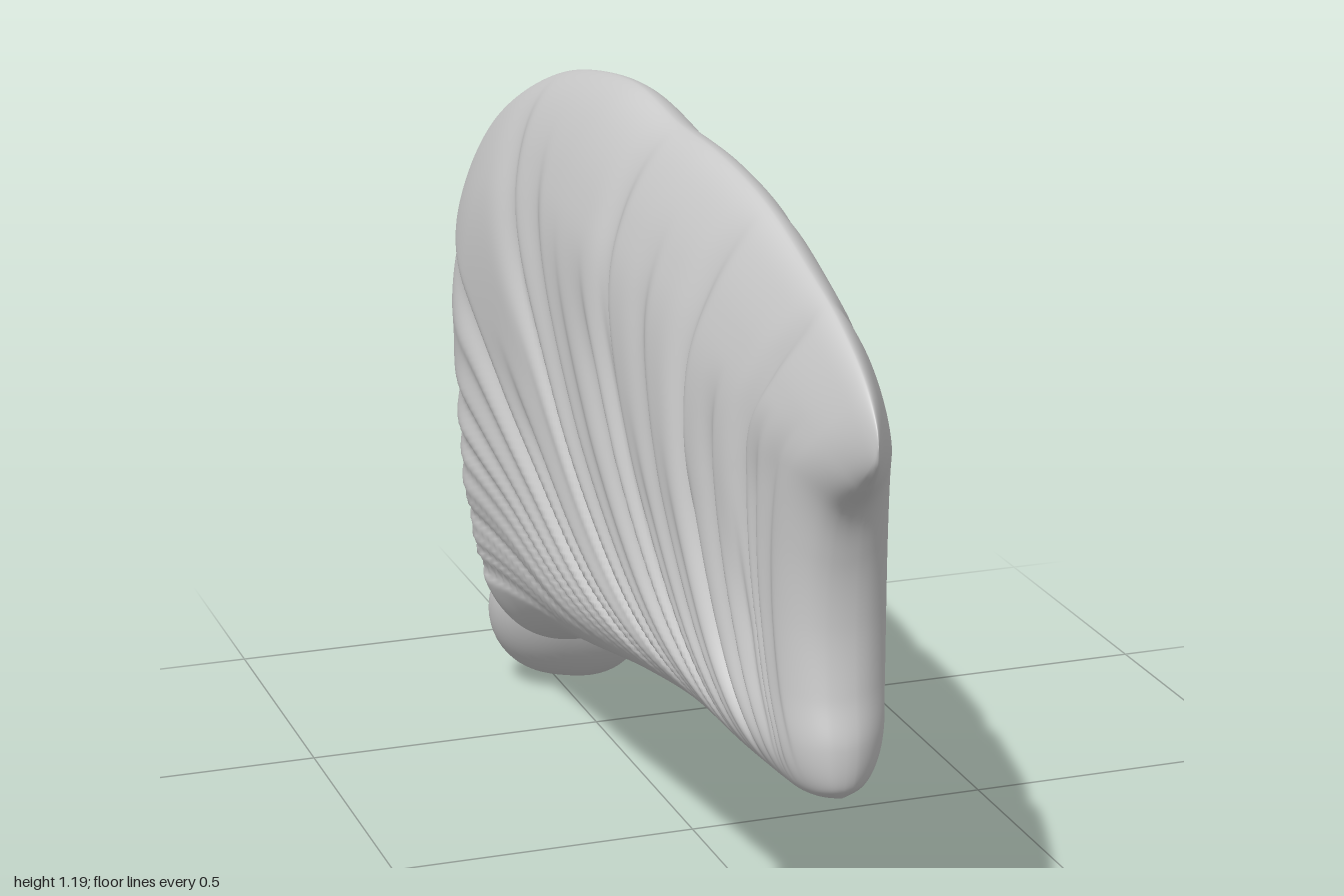
import * as THREE from 'three';
import { mergeVertices } from 'three/addons/utils/BufferGeometryUtils.js';

// Side outline as four edge curves, given as [z, y]
const edge = (pts) => {
  const c = new THREE.CatmullRomCurve3(pts.map(([z, y]) => new THREE.Vector3(0, y, z)), false, 'centripetal');
  c.arcLengthDivisions = 600;
  return c;
};
const bottom = edge([[0.835, 0.4], [0.8, 0.39], [0.6, 0.375], [0.4, 0.37], [0.15, 0.33], [-0.1, 0.275], [-0.35, 0.215], [-0.5, 0.165], [-0.62, 0.125], [-0.74, 0.12]]);
const top = edge([[1, 0.965], [0.99, 0.99], [0.94, 1.03], [0.8, 1.08], [0.6, 1.12], [0.4, 1.16], [0.2, 1.18], [0, 1.182], [-0.2, 1.195], [-0.4, 1.175], [-0.6, 1.13], [-0.8, 1.05], [-0.9, 0.985], [-0.945, 0.945]]);
const front = edge([[0.835, 0.4], [0.85, 0.42], [0.855, 0.48], [0.84, 0.55], [0.83, 0.65], [0.84, 0.75], [0.87, 0.83], [0.94, 0.89], [0.99, 0.935], [1, 0.965]]);
const back = edge([[-0.74, 0.12], [-0.785, 0.2], [-0.84, 0.35], [-0.92, 0.55], [-0.985, 0.72], [-0.995, 0.82], [-0.975, 0.9], [-0.945, 0.945]]);

const seeded = (seed) => () => {
  seed = (seed * 16807) % 2147483647;
  return seed / 2147483647;
};
const { clamp, lerp, smoothstep } = THREE.MathUtils;
const round = (u, p = 2, q = 1 / p) => Math.pow(Math.max(0, 1 - Math.pow(clamp(1 - u, 0, 1), p)), q);

// Half thickness along the length, and the sideways lean of the front end and crest
const thickness = (z) => 0.182 * (1 - Math.pow(clamp((z + 0.4) / 1.48, 0, 1), 2.6));
const lean = (z, t) => -0.09 * Math.pow(Math.max(0, (z + 0.3) / 1.3), 1.7)
  - 0.018 * smoothstep(t, 0.45, 0.8) * smoothstep(-z, -0.6, 0);

// Blunt underside, tapering crest, rounded front and back edges, slimmer near the foot
function taper(s, t) {
  const lower = round(t / 0.2, 2.5);
  const upper = round((1 - t) / lerp(0.25, 0.6, smoothstep(s, 0, 0.3)), 2, 0.6);
  const fore = round(s / 0.05);
  const aft = round((1 - s) / lerp(0.07, 0.22, t));
  const slim = 1 - 0.22 * smoothstep(s, 0.6, 0.95) * (1 - smoothstep(t, 0, 0.35));
  return lower * upper * fore * aft * slim;
}

// Strand lines fan out of the lower front corner and sweep up and back
function makeGrooves(seed) {
  const rnd = seeded(seed);
  const list = [0.15, 0.3, 0.5, 0.79, 1.03].map((at) => ({ at, depth: 0.016, reach: 1.1 }));
  for (let at = 0.08; at < 2; at += 0.03 + 0.04 * rnd() + 0.03 * at) {
    list.push({ at, depth: 0.005 + 0.008 * rnd(), reach: 0.55 + 0.4 * rnd() });
  }
  return list;
}
function grooveDepth(grooves, s, t) {
  const phi = s / Math.pow(t + 0.005, 0.4);
  const near = Math.min(1, Math.hypot(s * 1.7, t * 0.8) / 0.3) * smoothstep(t, 0.03, 0.16);
  let d = 0;
  for (const g of grooves) {
    const k = phi - g.at;
    const width = (k > 0 ? 0.024 : 0.009) * (0.8 + g.at);
    const fade = smoothstep(g.reach - t, 0, 0.25);
    d += g.depth * fade * Math.exp(-Math.pow(k / width, 2));
  }
  return Math.min(d, 0.02) * near;
}

function bodyGeometry(nS, nT) {
  const ease = (u) => 0.55 * u + 0.45 * (0.5 - 0.5 * Math.cos(Math.PI * u));
  const cosine = (u) => 0.5 - 0.5 * Math.cos(Math.PI * u);
  const S = Array.from({ length: nS + 1 }, (_, i) => ease(i / nS));
  const T = Array.from({ length: nT + 1 }, (_, j) => cosine(j / nT));
  const b = S.map((s) => bottom.getPointAt(s)), u = S.map((s) => top.getPointAt(s));
  const f = T.map((t) => front.getPointAt(t)), k = T.map((t) => back.getPointAt(t));
  const pos = [], index = [];
  const blend = (i, j, axis) => {
    const s = S[i], t = T[j];
    return (1 - t) * b[i][axis] + t * u[i][axis] + (1 - s) * f[j][axis] + s * k[j][axis]
      - (1 - s) * (1 - t) * b[0][axis] - s * (1 - t) * b[nS][axis]
      - (1 - s) * t * u[0][axis] - s * t * u[nS][axis];
  };
  for (const side of [1, -1]) {
    const grooves = makeGrooves(side > 0 ? 71 : 523);
    const base = pos.length / 3;
    for (let i = 0; i <= nS; i++) {
      for (let j = 0; j <= nT; j++) {
        const z = blend(i, j, 'z'), y = blend(i, j, 'y');
        const border = i === 0 || j === 0 || i === nS || j === nT;
        const m = border ? 0 : taper(S[i], T[j]);
        const w = m * (thickness(z) - grooveDepth(grooves, S[i], T[j]));
        pos.push(lean(z, T[j]) + side * Math.max(0, w), y, z);
        if (i < nS && j < nT) {
          const a = base + i * (nT + 1) + j, c = a + nT + 1;
          if (side > 0) index.push(a, c, c + 1, a, c + 1, a + 1);
          else index.push(a, c + 1, c, a, a + 1, c + 1);
        }
      }
    }
  }
  let g = new THREE.BufferGeometry();
  g.setAttribute('position', new THREE.Float32BufferAttribute(pos, 3));
  g.setIndex(index);
  g = mergeVertices(g, 1e-5);
  g.computeVertexNormals();
  return g;
}

// Wide lobe pointing down and back, its lower edge slanted across x
function footGeometry() {
  const g = new THREE.SphereGeometry(1, 48, 32);
  const p = g.attributes.position;
  const full = (v, e) => Math.sign(v) * Math.pow(Math.abs(v), e);
  for (let i = 0; i < p.count; i++) {
    const x = full(p.getX(i), 0.8) * 0.14;
    const along = p.getY(i) * 0.145, across = p.getZ(i) * 0.085;
    const y = 0.148 + along * 0.87 - across * 0.5 - x * 0.2;
    const z = -0.69 + along * 0.5 + across * 0.87;
    p.setXYZ(i, x + 0.01, y, z);
  }
  g.computeVertexNormals();
  return g;
}

export function createModel() {
  const group = new THREE.Group();
  group.name = 'sweptCrest';
  const material = new THREE.MeshStandardMaterial({ color: 0xcccccc });
  const add = (geometry, name) => {
    const mesh = new THREE.Mesh(geometry, material);
    mesh.name = name;
    group.add(mesh);
  };
  add(bodyGeometry(300, 115), 'strandedBody');
  add(footGeometry(), 'foot');
  return group;
}
